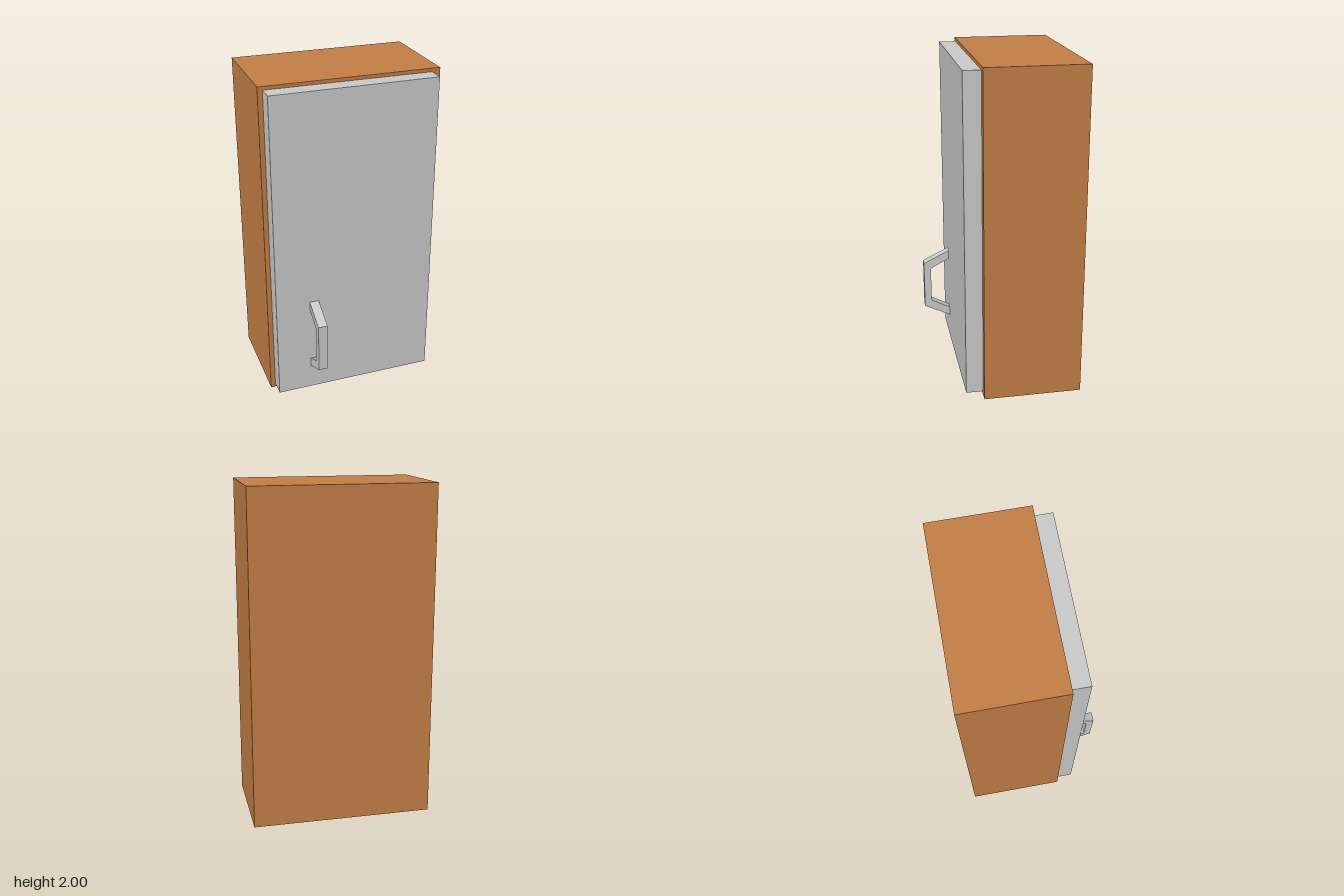
import * as THREE from 'three';

export function createModel() {
  const model = new THREE.Group();
  model.name = 'wallCabinet';

  const wood = new THREE.MeshStandardMaterial({ color: 0xc58046 });
  wood.name = 'warm wood';
  const grey = new THREE.MeshStandardMaterial({ color: 0xcccccc });
  grey.name = 'light grey';

  // Box from its minimum and maximum corners
  function slab(name, min, max, material) {
    const size = max.map((v, i) => v - min[i]);
    const mesh = new THREE.Mesh(new THREE.BoxGeometry(...size), material);
    mesh.position.set(...max.map((v, i) => (v + min[i]) / 2));
    mesh.name = name;
    model.add(mesh);
  }

  // Cabinet body and slightly offset door
  slab('cabinetBody', [-0.54, 0, -0.431], [0.54, 2, 0.163], wood);
  slab('door', [-0.511, 0.026, 0.163], [0.49, 1.979, 0.266], grey);

  // Angled bow handle: side profile (forward, up) extruded across its width
  const profile = [
    [0.266, 0.185], [0.431, 0.265], [0.431, 0.574], [0.266, 0.654],
    [0.266, 0.598], [0.386, 0.535], [0.386, 0.304], [0.266, 0.241],
  ].map(([z, y]) => new THREE.Vector2(z, y));
  const handleGeometry = new THREE.ExtrudeGeometry(new THREE.Shape(profile), {
    depth: 0.057,
    bevelEnabled: false,
  });
  handleGeometry.rotateY(-Math.PI / 2);
  const handle = new THREE.Mesh(handleGeometry, grey);
  handle.position.x = -0.244;
  handle.name = 'doorHandle';
  model.add(handle);

  return model;
}
